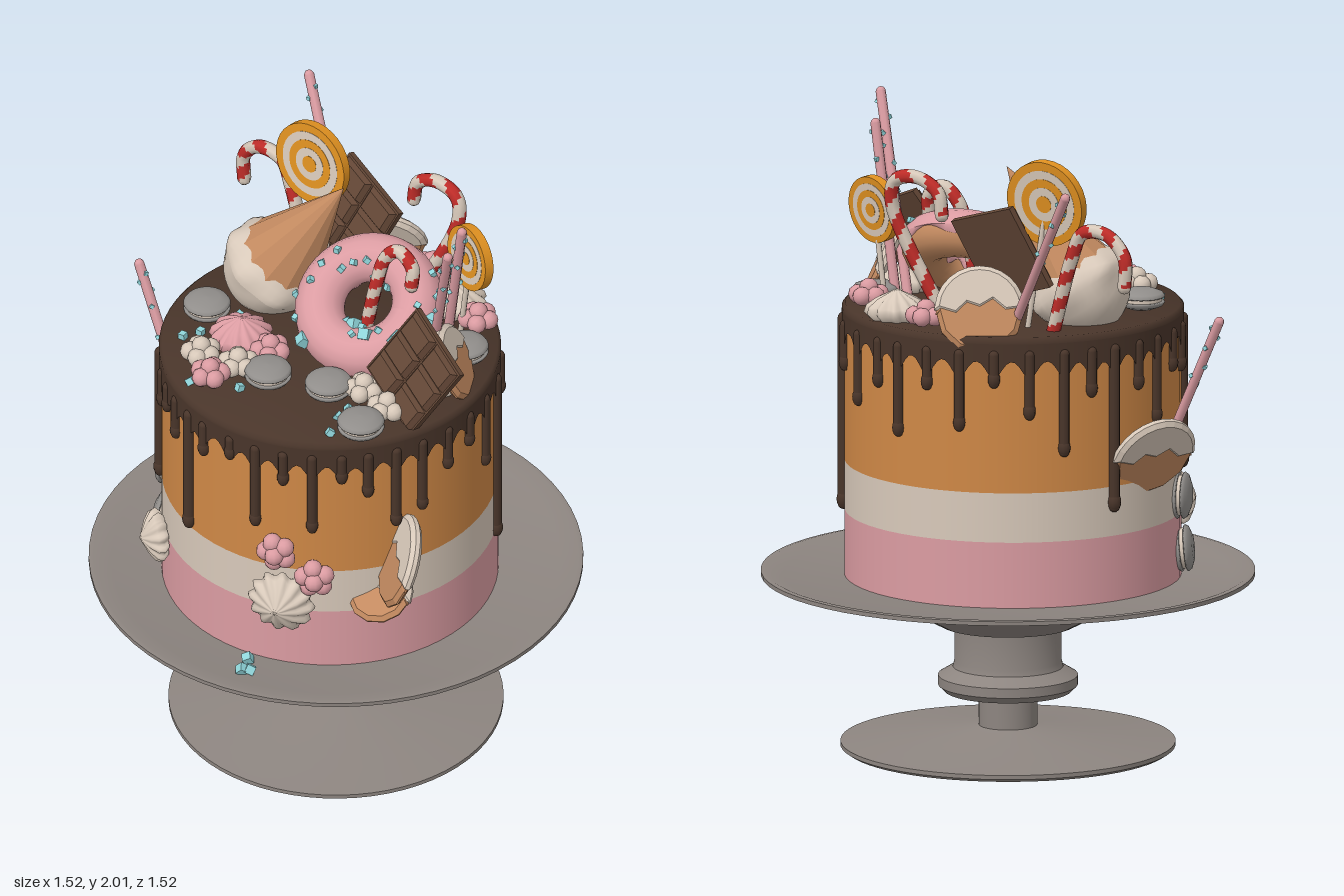
import * as THREE from 'three';
import { toCreasedNormals } from 'three/addons/utils/BufferGeometryUtils.js';

const V = (a) => new THREE.Vector3(...a);
const mat = (color, flatShading = false) => new THREE.MeshStandardMaterial({ color, flatShading, side: THREE.DoubleSide });
const M = {
  stand: mat(0x8d8580), cream: mat(0xd8c9ba), orange: mat(0xcf8846), pink: mat(0xdb9ca2), choc: mat(0x49352a),
  tan: mat(0xc38a60, true), bar: mat(0x654837), red: mat(0xbf2c28), lolly: mat(0xdf9020), sugar: mat(0x90d5da, true),
  grey: mat(0x918e8b), icing: mat(0xd8c9ba, true),
};
const R = 0.522, CZ = 0.03, TOP = 1.4;

export function createModel() {
  const root = new THREE.Group();
  const add = (name, geo, material, parent = root) => {
    const m = new THREE.Mesh(geo, material);
    m.name = name;
    parent.add(m);
    return m;
  };
  const group = (name) => { const g = new THREE.Group(); g.name = name; root.add(g); return g; };
  // Place an object at p with its local z axis along n
  const aim = (o, p, n) => { o.position.set(...p); o.lookAt(V(p).add(V(n))); return o; };
  const lathe = (pts, seg = 64) => new THREE.LatheGeometry(pts.map((p) => new THREE.Vector2(...p)), seg);
  const rod = (name, a, b, r, material, parent) => add(name, new THREE.TubeGeometry(new THREE.LineCurve3(V(a), V(b)), 1, r, 8), material, parent);
  const cube = (p, s, k) => {
    const c = add('sugarCube', new THREE.BoxGeometry(s, s, s), M.sugar);
    c.position.set(...p);
    c.rotation.set(k, k * 1.7, k * 0.6);
  };

  // Cake stand
  add('cakeStand', toCreasedNormals(lathe([[0, 0.005], [0.5, 0.005], [0.515, 0.015], [0.515, 0.028], [0.12, 0.072], [0.09, 0.078],
    [0.09, 0.185], [0.195, 0.185], [0.215, 0.205], [0.215, 0.235], [0.17, 0.262], [0.165, 0.28], [0.165, 0.385],
    [0.21, 0.395], [0.36, 0.475], [0.68, 0.535], [0.76, 0.552], [0.76, 0.565], [0.745, 0.567], [0.69, 0.55], [0, 0.545]]), 0.5), M.stand);

  // Cake layers
  [['pinkLayer', 0.545, 0.755, M.pink], ['creamLayer', 0.755, 0.91, M.cream], ['orangeLayer', 0.91, 1.39, M.orange]].forEach(([n, a, b, m]) => {
    add(n, new THREE.CylinderGeometry(R - 0.004, R - 0.004, b - a, 64), m).position.set(0, (a + b) / 2, CZ);
  });

  // Chocolate glaze: wavy skirt with hanging drips, given as [angle, lower end]
  const drips = [[-69, 1.2], [-55, 0.87], [-43, 1.22], [-35, 1.25], [-27, 1.2], [-18, 0.91], [-10, 1.23], [2, 1.27], [12, 1.05], [22, 1.23],
    [32, 1.06], [42, 1.25], [51, 1.19], [61, 1.06], [71, 1.09], [82, 1.2], [93, 1.23], [104, 1.09], [116, 0.74], [129, 1.2], [145, 1.12],
    [158, 1.2], [168, 1.06], [180, 1.22], [192, 1.1], [204, 1.24], [216, 1.14], [228, 1.02], [238, 1.2], [247, 0.83], [258, 1.2], [268, 1.08], [280, 1.22]];
  add('glazeTop', toCreasedNormals(lathe([[R + 0.004, 1.375], [R + 0.004, 1.39], [R - 0.006, TOP], [0, TOP]]), 0.9), M.choc).position.z = CZ;
  const skirt = new THREE.CylinderGeometry(R + 0.004, R + 0.004, 1, 256, 1, true);
  const sp = skirt.attributes.position;
  for (let i = 0; i < sp.count; i++) {
    const a = Math.atan2(sp.getX(i), sp.getZ(i));
    let low = 1.33;
    drips.forEach(([d]) => {
      const t = a - THREE.MathUtils.degToRad(d);
      low -= 0.06 * Math.exp(-((Math.atan2(Math.sin(t), Math.cos(t)) / 0.06) ** 2));
    });
    sp.setY(i, sp.getY(i) > 0 ? 1.38 : low);
  }
  add('glazeSkirt', skirt, M.choc).position.z = CZ;
  drips.forEach(([d, y]) => {
    const a = THREE.MathUtils.degToRad(d), x = R * Math.sin(a), z = CZ + R * Math.cos(a), r = y < 1 ? 0.018 : 0.016;
    add('drip', new THREE.CapsuleGeometry(r, 1.36 - y - 2 * r, 4, 10), M.choc).position.set(x, (1.36 + y) / 2, z);
    const tip = add('dripTip', new THREE.SphereGeometry(r * 1.2, 10, 8), M.choc);
    tip.scale.y = 1.5;
    tip.position.set(x, y + r * 1.8, z);
  });

  // Upturned ice cream cone
  const cone = aim(group('iceCream'), [-0.285, 1.52, -0.07], [0.21, 0.34, -0.06]);
  const wafer = new THREE.ConeGeometry(0.15, 0.41, 12, 1);
  wafer.rotateX(Math.PI / 2).translate(0, 0, 0.205);
  add('waffleCone', wafer, M.tan, cone);
  const scoop = new THREE.SphereGeometry(0.15, 32, 20);
  const q = scoop.attributes.position;
  for (let i = 0; i < q.count; i++) {
    const v = new THREE.Vector3().fromBufferAttribute(q, i);
    const k = 1 + 0.1 * Math.max(0, 1 - Math.abs(v.z - 0.02) * 18) * (1 + 0.5 * Math.cos(7 * Math.atan2(v.y, v.x)));
    q.setXYZ(i, v.x * k, v.y * k, v.z);
  }
  scoop.computeVertexNormals();
  add('scoop', scoop, M.cream, cone).position.z = -0.03;

  // Doughnut with wavy icing and sugar cubes
  const ring = aim(group('doughnut'), [0.1, 1.55, -0.035], [0.12, 0.8, 0.56]);
  add('dough', new THREE.TorusGeometry(0.155, 0.072, 16, 40), M.tan, ring).material = mat(0xc38a60);
  const icing = new THREE.TorusGeometry(0.155, 0.078, 16, 48);
  const ip = icing.attributes.position;
  for (let i = 0; i < ip.count; i++) {
    const t = Math.atan2(ip.getY(i), ip.getX(i));
    ip.setZ(i, Math.max(ip.getZ(i), -0.012 + 0.014 * Math.sin(7 * t)));
  }
  icing.computeVertexNormals();
  add('pinkIcing', icing, M.pink, ring);
  ring.updateMatrix();
  for (let i = 0; i < 24; i++) {
    const t = i * 2.4, u = 0.5 + 0.75 * (i % 4), rr = 0.155 + 0.08 * Math.cos(u);
    cube(V([rr * Math.cos(t), rr * Math.sin(t), 0.08 * Math.sin(u)]).applyMatrix4(ring.matrix).toArray(), i % 5 ? 0.018 : 0.034, i);
  }

  // Lollipops with concentric rings
  [[[-0.285, 1.795, -0.25], [-0.03, 0.12, 1], 0.135, [-0.22, 1.38, -0.26]], [[0.325, 1.71, -0.255], [-0.32, 0.1, 0.95], 0.105, [0.28, 1.38, -0.26]]].forEach(([p, n, r, foot]) => {
    const g = aim(group('lollipop'), p, n);
    for (let i = 0; i < 5; i++) {
      const d = new THREE.CylinderGeometry(r * (1 - i * 0.2), r * (1 - i * 0.2), 0.03 + i * 0.002, 32);
      add('candyRing', d.rotateX(Math.PI / 2), i % 2 ? M.cream : M.lolly, g);
    }
    rod('lollipopStick', p, foot, 0.009, M.cream);
  });

  // Striped candy canes: tube quads are split between two colours in a helix
  [[[-0.585, 1.57, -0.29], [-0.585, 1.66, -0.29], [-0.52, 1.725, -0.285], [-0.43, 1.72, -0.28], [-0.39, 1.64, -0.275], [-0.31, 1.38, -0.26]],
    [[0.03, 1.74, -0.35], [0.045, 1.81, -0.35], [0.12, 1.85, -0.35], [0.2, 1.83, -0.345], [0.215, 1.75, -0.335], [0.05, 1.38, -0.28]],
    [[0.24, 1.67, -0.07], [0.235, 1.73, -0.08], [0.18, 1.765, -0.085], [0.13, 1.72, -0.08], [0.11, 1.62, -0.06], [0.08, 1.42, -0.04]]].forEach((pts) => {
    const tube = new THREE.TubeGeometry(new THREE.CatmullRomCurve3(pts.map(V)), 56, 0.022, 8);
    const g = group('candyCane'), parts = [[], []];
    tube.index.array.forEach((v, k) => {
      const f = Math.floor(k / 6);
      parts[(Math.floor(f / 8) + f % 8) % 8 < 4 ? 0 : 1].push(v);
    });
    parts.forEach((idx, i) => add(i ? 'whiteStripe' : 'redStripe', tube.clone().setIndex(idx), i ? M.cream : M.red, g));
    add('caneTip', new THREE.SphereGeometry(0.022, 8, 6), M.cream, g).position.set(...pts[0]);
  });

  // Chocolate bars, given by centre, width axis and height axis
  [[[0.415, 1.545, 0.135], [0.245, -0.1, 0.09], [0.13, 0.24, -0.09]], [[-0.15, 1.63, -0.29], [0.25, -0.08, 0.07], [0.09, 0.26, -0.08]]].forEach(([c, u, v]) => {
    const g = group('chocolateBar'), x = V(u).normalize(), z = x.clone().cross(V(v)).normalize(), y = z.clone().cross(x);
    g.quaternion.setFromRotationMatrix(new THREE.Matrix4().makeBasis(x, y, z));
    g.position.set(...c);
    add('slab', new THREE.BoxGeometry(0.27, 0.28, 0.02), M.bar, g);
    for (let i = 0; i < 6; i++) {
      const tile = new THREE.CylinderGeometry(0.72, 0.92, 0.02, 4, 1).rotateY(Math.PI / 4).rotateX(Math.PI / 2);
      tile.scale(0.1, 0.066, 1);
      add('square', toCreasedNormals(tile, 0.3), M.bar, g).position.set((i % 2 - 0.5) * 0.132, (Math.floor(i / 2) - 1) * 0.09, 0.018);
    }
  });

  // Pink biscuit sticks with sugar near the tip
  [[[-0.5, 1.88, -0.505], [-0.2, 1.38, -0.33]], [[0.415, 1.94, -0.097], [0.3, 1.38, -0.16]], [[0.505, 1.995, 0.088], [0.3, 1.38, -0.09]], [[-0.705, 1.405, 0.08], [-0.48, 0.95, 0.125]]].forEach(([a, b], k) => {
    rod('biscuitStick', a, b, 0.016, M.pink);
    add('stickEnd', new THREE.SphereGeometry(0.016, 8, 6), M.pink).position.set(...a);
    for (let i = 0; i < 7; i++) {
      const p = V(a).lerp(V(b), 0.05 + i * 0.07);
      cube([p.x + 0.016 * Math.cos(i * 2.4), p.y, p.z + 0.016 * Math.sin(i * 2.4)], 0.012, i + k);
    }
  });

  // Macarons
  const shell = [[0, -0.032], [0.04, -0.03], [0.066, -0.02], [0.073, -0.01], [0.07, -0.006], [0.062, -0.006]];
  const up = [0, 1, 0];
  [[[-0.39, 1.432, 0.145], up], [[-0.03, 1.432, 0.3], up], [[0.155, 1.432, 0.235], up], [[0.355, 1.432, 0.33], up], [[0.37, 1.432, -0.17], up],
    [[-0.5, 0.815, 0.2], [-0.93, 0, 0.35]], [[-0.485, 0.64, 0.24], [-0.9, 0.1, 0.42]]].forEach(([p, n]) => {
    const g = aim(group('macaron'), p, n);
    [1, -1].forEach((s) => add('macaronShell', lathe(shell, 24).rotateX(s * Math.PI / 2), M.grey, g));
    add('macaronFilling', new THREE.CylinderGeometry(0.063, 0.063, 0.014, 24).rotateX(Math.PI / 2), M.cream, g);
  });

  // Round biscuits, upper half dipped in icing
  const slab = (s, d) => new THREE.ExtrudeGeometry(s, { depth: d, bevelEnabled: true, bevelSize: 0.014, bevelThickness: 0.012, bevelSegments: 1, curveSegments: 6 }).translate(0, 0, -d / 2);
  const biscuit = (p, n, r, dipped) => {
    const g = aim(group('biscuit'), p, n), disc = new THREE.Shape(), dip = new THREE.Shape();
    disc.absarc(0, 0, r - 0.014, dipped ? 0 : Math.PI, Math.PI * 2, false);
    if (dipped) disc.absarc(0, 0, r - 0.014, 0, Math.PI, false);
    add('biscuitBody', slab(disc, 0.006), M.tan, g);
    if (!dipped) return;
    dip.absarc(0, 0, r - 0.01, 0.1, Math.PI - 0.1, false);
    [[-0.55, -0.02], [-0.3, 0.22], [0, 0.12], [0.3, 0.3], [0.6, 0.05]].forEach(([x, y]) => dip.lineTo(x * r, y * r));
    add('dippedIcing', slab(dip, 0.014), M.icing, g);
  };
  biscuit([0.51, 0.975, 0.335], [0.62, -0.35, -0.65], 0.145, true);
  biscuit([0.43, 0.815, 0.33], [0.1, 0.85, 0.53], 0.1, true);
  biscuit([-0.55, 0.99, -0.06], [-0.75, -0.45, -0.4], 0.14, true);
  biscuit([-0.14, 1.47, -0.41], [-0.45, 0.35, -0.75], 0.135, true);
  biscuit([0.43, 1.48, -0.04], [0.75, 0.4, -0.4], 0.12, true);

  // Fluted meringues
  [[[-0.335, 0.745, 0.43], [-0.6, 0, 0.8], 0.08, 0], [[0.195, 0.8, 0.51], [0.36, 0, 0.93], 0.1, 0], [[-0.22, 1.4, 0.19], up, 0.095, 1],
    [[0.19, 1.4, -0.35], up, 0.095, 0], [[0.38, 1.4, 0.02], up, 0.09, 0]].forEach(([p, n, r, pink]) => {
    const geo = lathe([[0.8, 0], [1, 0.25], [0.92, 0.5], [0.62, 0.78], [0.25, 1], [0, 1.15]], 60), a = geo.attributes.position;
    for (let i = 0; i < a.count; i++) {
      const k = 1 + 0.09 * Math.cos(12 * Math.atan2(a.getX(i), a.getZ(i)) + a.getY(i) * 2);
      a.setXYZ(i, a.getX(i) * k, a.getY(i), a.getZ(i) * k);
    }
    geo.computeVertexNormals();
    aim(add('meringue', geo.scale(r, r * 0.85, r).rotateX(Math.PI / 2), pink ? M.pink : M.cream), p, n);
  });

  // Popcorn puffs: a ring of small lobes around a centre one
  [[-0.26, 1.43, 0.34, 0], [-0.135, 1.43, 0.315, 0], [-0.17, 1.43, 0.41, 1], [0.04, 1.44, -0.43, 1], [0.32, 1.45, -0.3, 1], [0.25, 1.43, 0.18, 0],
    [0.365, 1.43, 0.21, 0], [0.19, 0.985, 0.54, 1], [0.3, 0.905, 0.49, 1], [-0.1, 1.43, 0.2, 1]].forEach(([x, y, z, pink], k) => {
    const g = aim(group('popcorn'), [x, y, z], y > 1.3 ? up : [x, 0, z]);
    for (let i = 0; i < 6; i++) {
      const t = i * Math.PI * 0.4 + k;
      add('puff', new THREE.SphereGeometry(0.03, 10, 8), pink ? M.pink : M.cream, g)
        .position.set(i < 5 ? 0.035 * Math.cos(t) : 0, i < 5 ? 0.035 * Math.sin(t) : 0, i < 5 ? 0 : 0.022);
    }
  });

  // Loose sugar cubes
  [[-0.34, 0.24], [-0.37, 0.29], [-0.24, 0.36], [-0.07, 0.39], [0.26, 0.27], [0.26, 0.32], [0.29, 0.4], [-0.21, 0.46], [-0.3, 0.1]].forEach(([x, z], i) => cube([x, 1.408, z], 0.022, i));
  [[0.11, 0.58], [0.13, 0.635], [0.15, 0.62]].forEach(([x, z], i) => cube([x, 0.562, z], 0.028, i + 0.4));
  return root;
}
